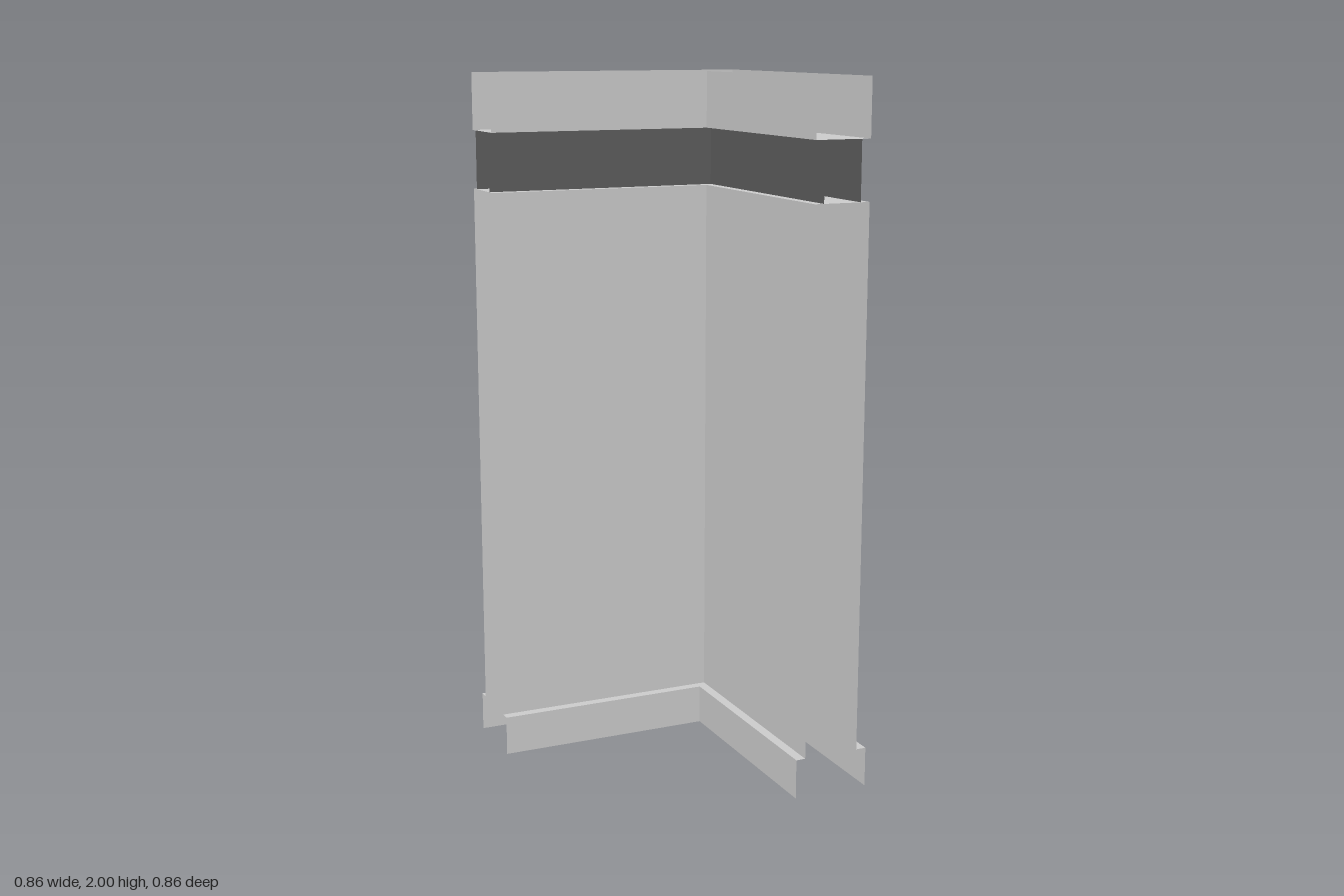
import * as THREE from 'three';

const END = 0.43; // both arms of the corner stop here, with open ends

// Sweeps an open [offset, height] profile along the L-shaped path.
function sweepCorner(name, profile, color) {
  const path = [
    (d, y) => [-END, y, -d],
    (d, y) => [d, y, -d],
    (d, y) => [d, y, END],
  ];
  const pos = [];
  for (let j = 0; j < path.length - 1; j++) {
    for (let k = 0; k < profile.length - 1; k++) {
      const a = path[j](...profile[k]), b = path[j + 1](...profile[k]);
      const c = path[j + 1](...profile[k + 1]), d = path[j](...profile[k + 1]);
      pos.push(...a, ...d, ...c, ...a, ...c, ...b);
    }
  }
  const geometry = new THREE.BufferGeometry();
  geometry.setAttribute('position', new THREE.Float32BufferAttribute(pos, 3));
  geometry.computeVertexNormals();
  const material = new THREE.MeshStandardMaterial({ color, side: THREE.DoubleSide, flatShading: true });
  const mesh = new THREE.Mesh(geometry, material);
  mesh.name = name;
  return mesh;
}

export function createModel() {
  const group = new THREE.Group();
  group.name = 'wallCorner';
  const grey = 0xcccccc, dark = 0x5c5c5c;
  const outer = 0.40, inner = 0.235;           // wall faces
  const baseOuter = 0.43, baseInner = 0.207;   // skirting faces
  const bandOuter = 0.373, bandInner = 0.262;  // recessed band faces
  const baseTop = 0.115, wallTop = 1.67, bandTop = 1.837, top = 2;

  // Skirting boards with their small ledges, open underneath
  group.add(sweepCorner('outerSkirting', [[baseOuter, 0], [baseOuter, baseTop], [outer, baseTop]], grey));
  group.add(sweepCorner('innerSkirting', [[inner, baseTop], [baseInner, baseTop], [baseInner, 0]], grey));

  // Main wall panels joined by a flat top
  group.add(sweepCorner('wall', [[outer, baseTop], [outer, wallTop], [inner, wallTop], [inner, baseTop]], grey));

  // Recessed dark band
  group.add(sweepCorner('outerBand', [[bandOuter, wallTop], [bandOuter, bandTop]], dark));
  group.add(sweepCorner('innerBand', [[bandInner, bandTop], [bandInner, wallTop]], dark));

  // Cornice trough, open at the top
  group.add(sweepCorner('cornice', [[outer, top], [outer, bandTop], [inner, bandTop], [inner, top]], grey));

  return group;
}
